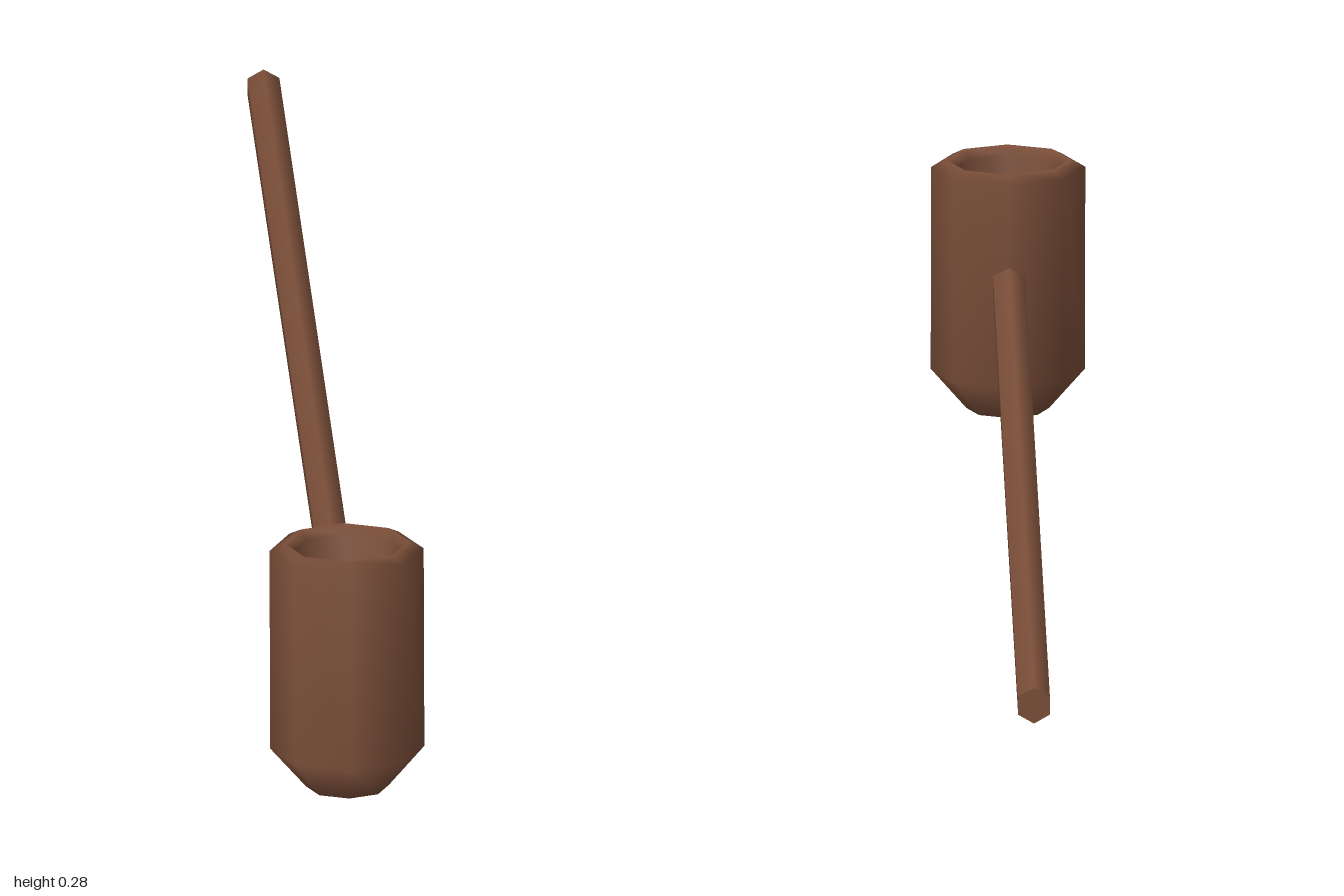
import * as THREE from 'three';

export function createModel() {
  const model = new THREE.Group();
  model.name = 'smokingPipe';

  const wood = new THREE.MeshStandardMaterial({ color: 0x7d503a });
  wood.name = 'brown wood';
  const char = new THREE.MeshStandardMaterial({ color: 0x241b1c });
  char.name = 'charred black';

  const add = (name, geometry, material) => {
    const mesh = new THREE.Mesh(geometry, material);
    mesh.name = name;
    model.add(mesh);
    return mesh;
  };

  // Eight-sided hollow bowl: chamfer, wall, rim, then down the tapered bore
  const profile = [
    [0.044, 0], [0.082, 0.043], [0.082, 0.264],
    [0.066, 0.272], [0.058, 0.262], [0.036, 0.1],
  ].map(([r, y]) => new THREE.Vector2(r, y));
  add('bowl', new THREE.LatheGeometry(profile, 8), wood);

  // Charred floor of the bore and dark underside of the bowl
  const floor = add('bowlFloor', new THREE.CircleGeometry(0.036, 8), char);
  floor.rotation.x = -Math.PI / 2;
  floor.position.y = 0.1;
  const base = add('bowlBase', new THREE.CircleGeometry(0.044, 8), char);
  base.rotation.x = Math.PI / 2;

  // Long straight six-sided stem, set into the back wall of the bowl
  const start = -0.06, end = -1.913;
  const stem = add('stem', new THREE.CylinderGeometry(0.0195, 0.0195, start - end, 6), wood);
  stem.rotation.x = Math.PI / 2;
  stem.position.set(0, 0.154, (start + end) / 2);

  // Lean the whole pipe back so the stem tip rests on the ground
  model.rotation.x = -0.074;
  model.position.set(0, 0.008, 0.921);

  const root = new THREE.Group();
  root.name = 'pipe';
  root.add(model);
  return root;
}
